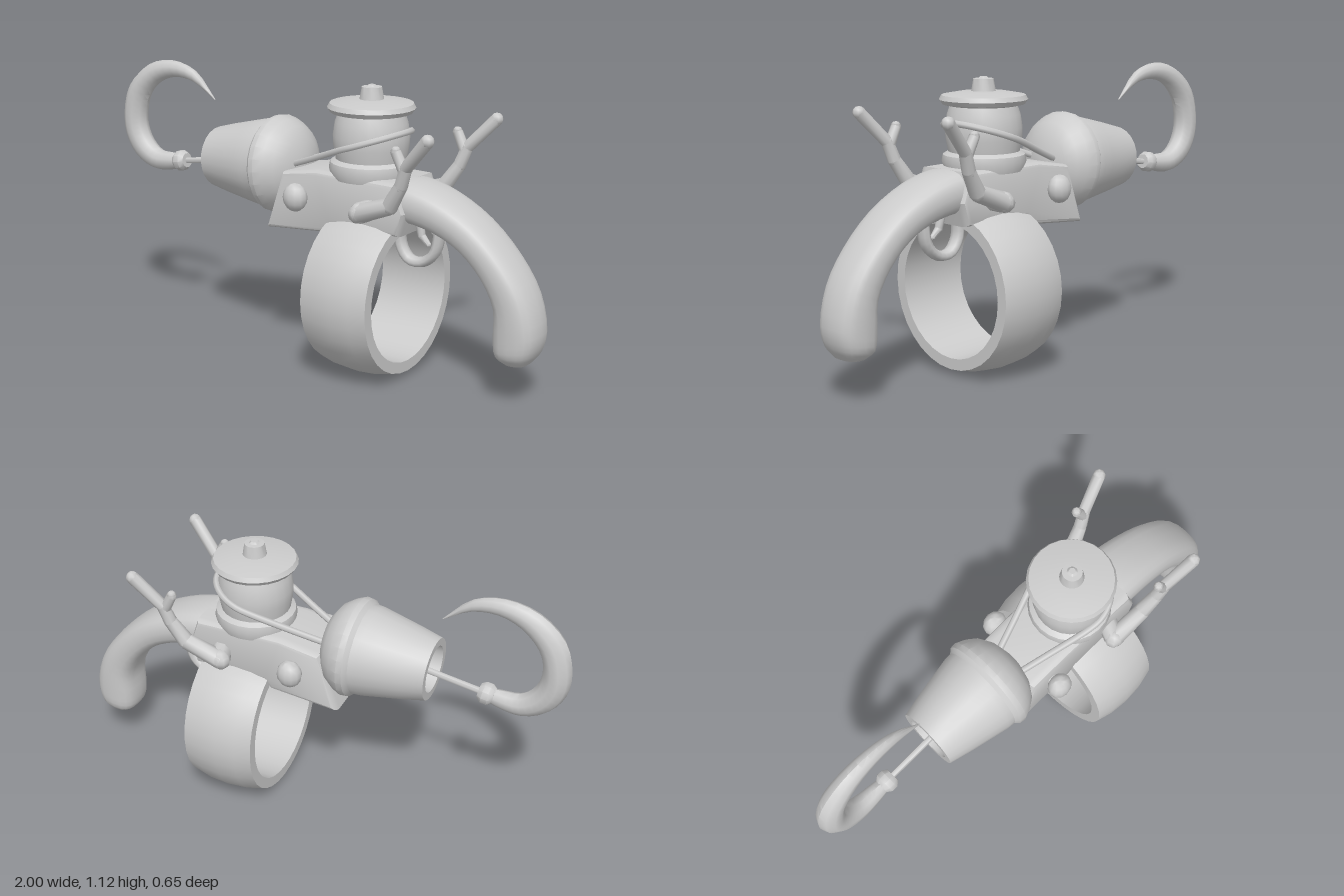
import * as THREE from 'three';
import { toCreasedNormals } from 'three/addons/utils/BufferGeometryUtils.js';

const V = (x, y, z = 0) => new THREE.Vector3(x, y, z);
const material = new THREE.MeshStandardMaterial({ color: 0xcccccc });

function part(name, geometry, parent, crease = 0.65) {
  const mesh = new THREE.Mesh(toCreasedNormals(geometry, crease), material);
  mesh.name = name;
  parent.add(mesh);
  return mesh;
}

const lathe = (points, segments) =>
  new THREE.LatheGeometry(points.map(([r, h]) => new THREE.Vector2(r, h)), segments);

// Loft between an outer and an inner side curve; each point is [x, y, halfWidth]
function loft(outer, inner, steps, sides, power) {
  const a = new THREE.CatmullRomCurve3(outer.map((p) => V(p[0], p[1], p[2])));
  const b = new THREE.CatmullRomCurve3(inner.map((p) => V(p[0], p[1], 0)));
  const pos = [], index = [];
  const shape = (v) => Math.sign(v) * Math.abs(v) ** power;
  for (let i = 0; i <= steps; i++) {
    const p = a.getPoint(i / steps), q = b.getPoint(i / steps);
    for (let j = 0; j < sides; j++) {
      const t = (j / sides) * Math.PI * 2;
      const c = shape(Math.cos(t)), s = shape(Math.sin(t));
      pos.push((p.x + q.x) / 2 + (c * (p.x - q.x)) / 2, (p.y + q.y) / 2 + (c * (p.y - q.y)) / 2, s * p.z);
      if (i < steps) {
        const k = i * sides + j, n = i * sides + ((j + 1) % sides);
        index.push(k, n, k + sides, n, n + sides, k + sides);
      }
    }
  }
  // End caps
  const last = steps * sides;
  for (let j = 1; j < sides - 1; j++) index.push(0, j + 1, j, last, last + j, last + j + 1);
  const g = new THREE.BufferGeometry();
  g.setAttribute('position', new THREE.Float32BufferAttribute(pos, 3));
  g.setIndex(index);
  return g;
}

// Tapered rod through points, with round joints
function limb(name, points, radii, parent, sides = 8) {
  const group = new THREE.Group();
  group.name = name;
  points.forEach((p, i) => {
    part(name + 'Joint', new THREE.SphereGeometry(radii[i], sides, 6), group, 1).position.copy(p);
    if (!i) return;
    const d = p.clone().sub(points[i - 1]);
    const rod = part(name + 'Rod', new THREE.CylinderGeometry(radii[i], radii[i - 1], d.length(), sides, 1, true), group, 1);
    rod.position.copy(p).add(points[i - 1]).multiplyScalar(0.5);
    rod.quaternion.setFromUnitVectors(V(0, 1), d.normalize());
  });
  parent.add(group);
}

export function createModel() {
  const model = new THREE.Group();
  model.name = 'hookLauncher';

  // Wrist band, a slightly bulged ring around the x axis
  const band = lathe([[0.26, 0.145], [0.26, -0.145], [0.303, -0.145], [0.319, -0.08], [0.325, 0],
    [0.319, 0.08], [0.303, 0.145], [0.26, 0.145]], 32);
  part('wristBand', band.rotateZ(-Math.PI / 2), model).position.set(0.295, 0.33, 0);

  // Body block with bevelled edges
  const side = new THREE.Shape([[-0.12, 0.55], [0.13, 0.575], [0.16, 0.61], [0.45, 0.61],
    [0.47, 0.68], [0.44, 0.77], [0.1, 0.775], [-0.05, 0.75]].map(([x, y]) => new THREE.Vector2(x, y)));
  const body = new THREE.ExtrudeGeometry(side, {
    depth: 0.21, bevelThickness: 0.033, bevelSize: 0.02, bevelSegments: 3,
  });
  part('body', body.translate(0, 0, -0.105), model, 0.5);

  // Curved grip
  part('grip', loft(
    [[0.38, 0.79, 0.125], [0.47, 0.79, 0.122], [0.6, 0.755, 0.115], [0.75, 0.675, 0.108], [0.88, 0.555, 0.103],
      [0.965, 0.43, 0.1], [1.0, 0.29, 0.097], [0.985, 0.215, 0.09], [0.955, 0.172, 0.06]],
    [[0.38, 0.63], [0.47, 0.63], [0.59, 0.605], [0.69, 0.555], [0.775, 0.47],
      [0.825, 0.37], [0.825, 0.26], [0.835, 0.195], [0.87, 0.168]], 24, 20, 0.72), model, 0.8);

  // Trigger and its guard
  const guard = new THREE.CatmullRomCurve3([V(0.4, 0.62), V(0.4, 0.53), V(0.44, 0.475), V(0.5, 0.475), V(0.55, 0.52), V(0.57, 0.62)]);
  part('triggerGuard', new THREE.TubeGeometry(guard, 18, 0.02, 8), model, 1).scale.z = 1.5;
  limb('trigger', [V(0.48, 0.62), V(0.49, 0.575), V(0.52, 0.545)], [0.018, 0.015, 0.01], model);

  // Rope drum with flanges and a knob
  part('drum', lathe([[0, 0.77], [0.15, 0.77], [0.16, 0.805], [0.155, 0.83], [0.135, 0.842], [0.144, 0.89],
    [0.146, 0.93], [0.138, 0.98], [0.127, 1.012], [0.155, 1.018], [0.167, 1.035], [0.158, 1.052], [0.09, 1.064],
    [0.046, 1.066], [0.038, 1.112], [0.02, 1.113], [0.012, 1.12], [0, 1.12]], 24), model).position.x = 0.26;

  // Rope running from the bell around the back of the drum
  const rope = [V(-0.1, 0.77, 0.045), V(0.05, 0.825, 0.092)];
  for (let i = 0; i <= 10; i++) {
    const a = 1.9 - (i / 10) * 3.8;
    const x = 0.26 + Math.cos(a) * 0.15;
    rope.push(V(x, 0.955 - (0.41 - x) * 0.34, Math.sin(a) * 0.15));
  }
  rope.push(V(0.05, 0.825, -0.092), V(-0.1, 0.77, -0.045));
  part('rope', new THREE.TubeGeometry(new THREE.CatmullRomCurve3(rope), 60, 0.013, 6), model, 1.2);

  // Hollow bell-shaped muzzle
  const bell = lathe([[0, -0.06], [0.085, -0.06], [0.092, -0.23], [0.122, -0.23], [0.143, -0.14], [0.163, -0.04],
    [0.175, 0.02], [0.177, 0.05], [0.192, 0.067], [0.195, 0.09], [0.18, 0.125], [0.155, 0.16], [0.11, 0.19],
    [0.05, 0.208], [0, 0.212]], 24);
  const muzzle = part('muzzle', bell.rotateZ(-Math.PI / 2), model, 0.55);
  muzzle.position.set(-0.25, 0.758, 0);
  muzzle.rotation.z = 0.04;

  // Hook with its shaft and collar
  limb('hookShaft', [V(-0.27, 0.765), V(-0.7, 0.7)], [0.012, 0.012], model);
  const collar = part('hookCollar', lathe([[0, -0.03], [0.03, -0.03], [0.043, -0.012], [0.043, 0.012],
    [0.03, 0.03], [0, 0.03]], 10), model, 0.8);
  collar.rotation.z = Math.PI / 2 + 0.15;
  collar.position.set(-0.69, 0.702, 0);
  part('hook', loft(
    [[-0.69, 0.672, 0.026], [-0.76, 0.652, 0.034], [-0.84, 0.65, 0.042], [-0.93, 0.695, 0.048], [-0.985, 0.78, 0.05],
      [-0.995, 0.88, 0.05], [-0.96, 1.0, 0.046], [-0.86, 1.09, 0.038], [-0.73, 1.12, 0.03], [-0.61, 1.09, 0.02], [-0.5, 0.98, 0.002]],
    [[-0.69, 0.728], [-0.74, 0.73], [-0.81, 0.735], [-0.86, 0.775], [-0.885, 0.83],
      [-0.885, 0.89], [-0.86, 0.96], [-0.79, 1.025], [-0.71, 1.052], [-0.61, 1.04], [-0.503, 0.977]], 30, 10, 1.1), model, 0.8);

  // Side bolts and forked horns on both sides
  for (const s of [1, -1]) {
    const bolt = part(s > 0 ? 'leftBolt' : 'rightBolt', new THREE.SphereGeometry(0.05, 12, 8), model, 1);
    bolt.position.set(0.035, 0.69, s * 0.178);
    bolt.scale.set(1, 1.1, 0.85);
    limb('boltPin', [V(0.035, 0.69, s * 0.1), V(0.035, 0.69, s * 0.17)], [0.025, 0.025], model);

    const horn = new THREE.Group();
    horn.name = s > 0 ? 'leftHorn' : 'rightHorn';
    limb('mount', [V(0.36, 0.685, s * 0.1), V(0.33, 0.675, s * 0.18)], [0.04, 0.04], horn);
    limb('stem', [V(0.325, 0.672, s * 0.182), V(0.47, 0.725, s * 0.19), V(0.525, 0.81, s * 0.205),
      V(0.55, 0.88, s * 0.215), V(0.655, 0.995, s * 0.245)], [0.037, 0.032, 0.026, 0.024, 0.025], horn);
    limb('fork', [V(0.545, 0.86, s * 0.212), V(0.507, 0.935, s * 0.215)], [0.022, 0.02], horn);
    model.add(horn);
  }
  return model;
}
